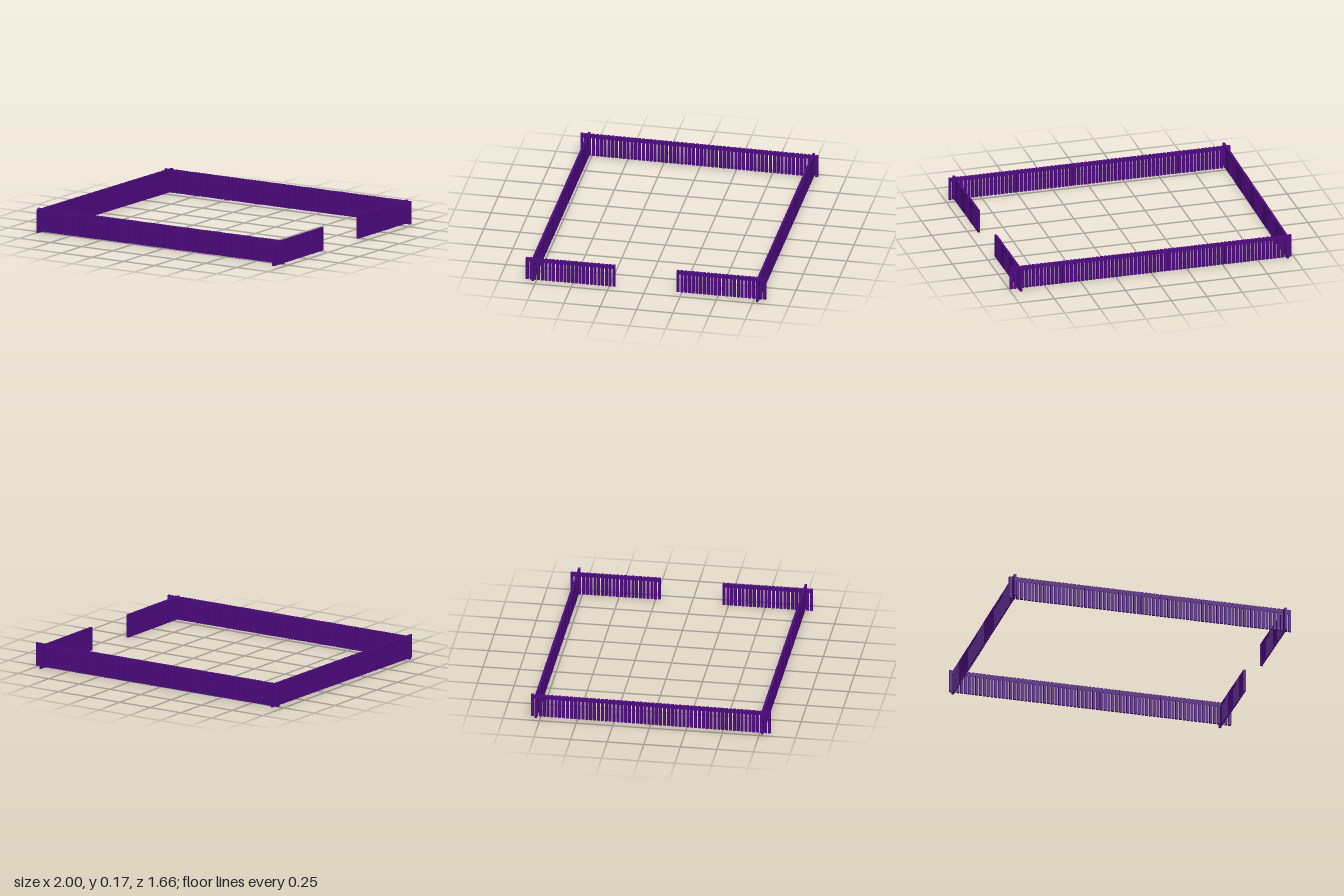
import * as THREE from 'three';
import { mergeGeometries } from 'three/addons/utils/BufferGeometryUtils.js';

const PITCH = 0.0265, PICKET = 0.0185, DEPTH = 0.016, HEIGHT = 0.16;

// One straight fence run between two ground points: evenly spaced pickets and a top rail
function fenceRun(name, material, [x0, z0], [x1, z1], baseY) {
  const length = Math.hypot(x1 - x0, z1 - z0);
  const count = Math.round((length - PICKET) / PITCH) + 1;
  const step = (length - PICKET) / (count - 1);
  const pickets = [];
  for (let i = 0; i < count; i++) {
    const picket = new THREE.BoxGeometry(PICKET, HEIGHT, DEPTH);
    picket.translate(-length / 2 + PICKET / 2 + i * step, HEIGHT / 2, 0);
    pickets.push(picket);
  }
  const picketMesh = new THREE.Mesh(mergeGeometries(pickets), material);
  picketMesh.name = 'pickets';

  const rail = new THREE.Mesh(new THREE.BoxGeometry(length - 0.002, 0.024, DEPTH - 0.002), material);
  rail.name = 'topRail';
  rail.position.y = HEIGHT - 0.016;

  const run = new THREE.Group();
  run.name = name;
  run.add(picketMesh, rail);
  run.position.set((x0 + x1) / 2, baseY, (z0 + z1) / 2);
  run.rotation.y = Math.atan2(-(z1 - z0), x1 - x0);
  return run;
}

export function createModel() {
  const model = new THREE.Group();
  model.name = 'fenceEnclosure';
  const purple = new THREE.MeshStandardMaterial({ color: 0x4f0a82 });
  purple.name = 'deep purple';

  // Long sides, overlapping at the corners
  model.add(fenceRun('frontFence', purple, [-1, 0.77], [0.98, 0.77], 0.01));
  model.add(fenceRun('backFence', purple, [-0.98, -0.78], [1, -0.78], 0.01));
  // Closed short side, slightly askew
  model.add(fenceRun('rightFence', purple, [-0.946, -0.815], [-0.97, 0.825], 0.01));
  // Open short side: two halves with a gateway between them
  model.add(fenceRun('leftBackFence', purple, [0.935, -0.83], [0.935, -0.215], 0.005));
  model.add(fenceRun('leftFrontFence', purple, [0.93, 0.21], [0.93, 0.825], 0));
  return model;
}
